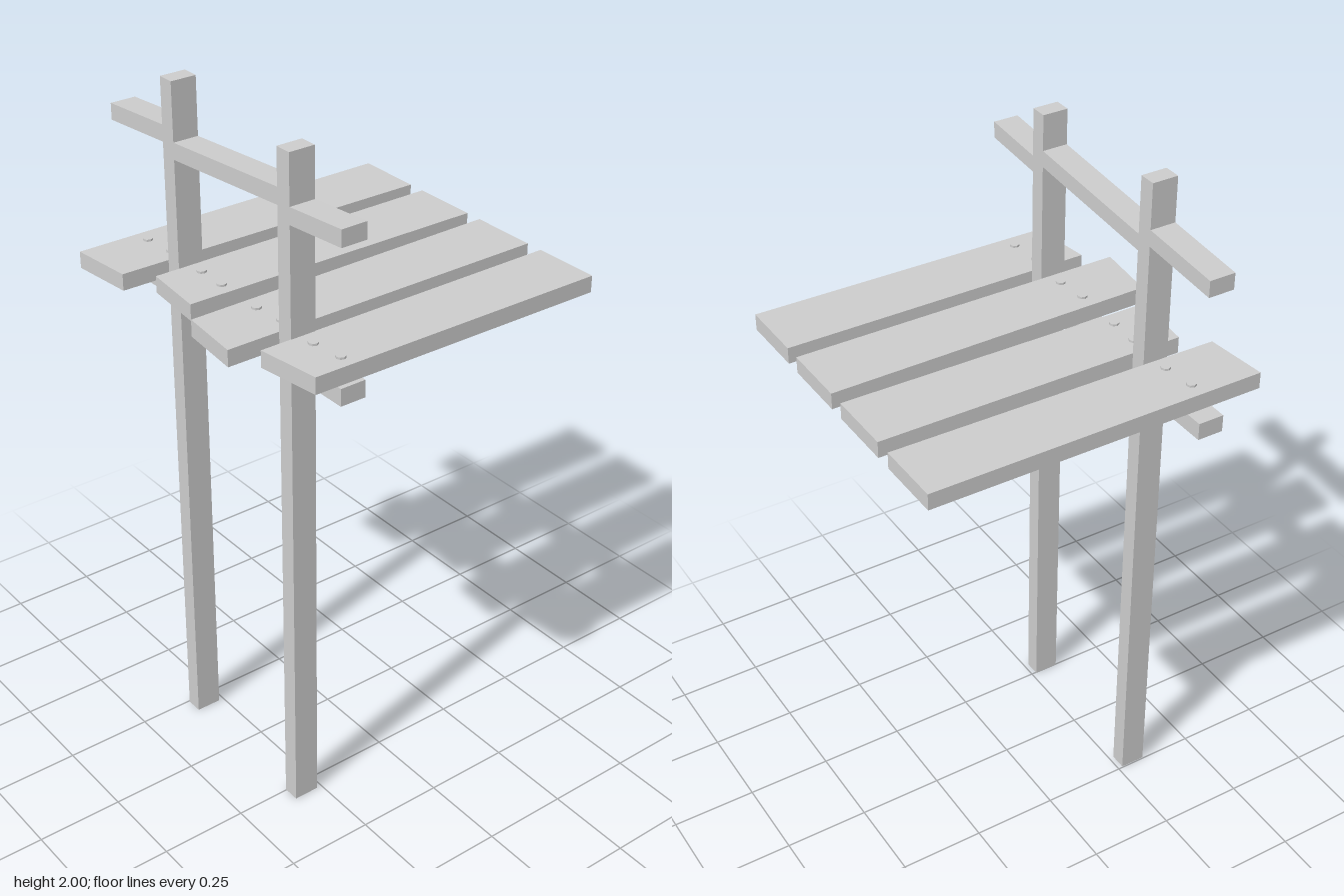
import * as THREE from 'three';

const grey = new THREE.MeshStandardMaterial({ color: 0xcccccc, flatShading: true, side: THREE.DoubleSide });
const OUTER = -0.34, INNER = -0.265; // x extent shared by posts, beam and rail

function add(parent, name, geometry) {
  const mesh = new THREE.Mesh(geometry, grey);
  mesh.name = name;
  parent.add(mesh);
  return mesh;
}

function extrude(points, depth) {
  const shape = new THREE.Shape(points.map(([a, b]) => new THREE.Vector2(a, b)));
  return new THREE.ExtrudeGeometry(shape, { depth, bevelEnabled: false });
}

// Bar along z from (z0, y0) to (z1, y1), measured at its underside, with upright ends
function bar(z0, y0, z1, y1, height) {
  return extrude([[z0, y0], [z1, y1], [z1, y1 + height], [z0, y0 + height]], INNER - OUTER)
    .rotateY(-Math.PI / 2).translate(INNER, 0, 0);
}

export function createModel() {
  const model = new THREE.Group();
  model.name = 'postsWithPlatform';

  // Posts, open at the foot
  for (const [name, z, height] of [['frontPost', 0.272, 1.975], ['backPost', -0.222, 2]]) {
    const geo = new THREE.BoxGeometry(INNER - OUTER, height, 0.049);
    const index = Array.from(geo.index.array);
    index.splice(18, 6); // bottom face
    geo.setIndex(index);
    add(model, name, geo).position.set((OUTER + INNER) / 2, height / 2, z);
  }

  // Beam under the planks and handrail, each in three lengths between the posts
  const spans = [[-0.495, -0.246], [-0.198, 0.248], [0.296, 0.496]];
  const railHeights = [[1.805, 1.824], [1.79, 1.825], [1.79, 1.806]];
  const beam = new THREE.Group();
  beam.name = 'supportBeam';
  const rail = new THREE.Group();
  rail.name = 'handrail';
  spans.forEach(([z0, z1], i) => {
    add(beam, 'beamLength', bar(z0, 1.386, z1, 1.386, 0.049));
    const [y0, y1] = railHeights[i];
    add(rail, 'railLength', bar(z0, y0, z1, y1, 0.047));
  });
  model.add(beam, rail);

  // Planks: corners as [x, z], with roughly sawn ends
  const planks = [
    [[-0.493, -0.445], [0.492, -0.445], [0.492, -0.249], [-0.475, -0.26]],
    [[-0.412, -0.198], [0.492, -0.198], [0.492, -0.002], [-0.43, -0.01]],
    [[-0.475, 0.06], [0.492, 0.048], [0.492, 0.245], [-0.493, 0.245]],
    [[-0.43, 0.295], [0.492, 0.295], [0.492, 0.491], [-0.405, 0.482]],
  ];
  // Two nails per plank: [x, z]
  const nails = [
    [[-0.308, -0.397], [-0.297, -0.3]],
    [[-0.302, -0.148], [-0.304, -0.053]],
    [[-0.308, 0.107], [-0.298, 0.2]],
    [[-0.308, 0.345], [-0.297, 0.44]],
  ];
  planks.forEach((corners, i) => {
    const group = new THREE.Group();
    group.name = 'plank' + (i + 1);
    const outline = corners.map(([x, z]) => [x, -z]);
    add(group, 'board', extrude(outline, 0.048).rotateX(-Math.PI / 2).translate(0, 1.435, 0));
    for (const [x, z] of nails[i]) {
      add(group, 'nailHead', new THREE.CylinderGeometry(0.014, 0.014, 0.01, 8)).position.set(x, 1.484, z);
    }
    model.add(group);
  });

  return model;
}
